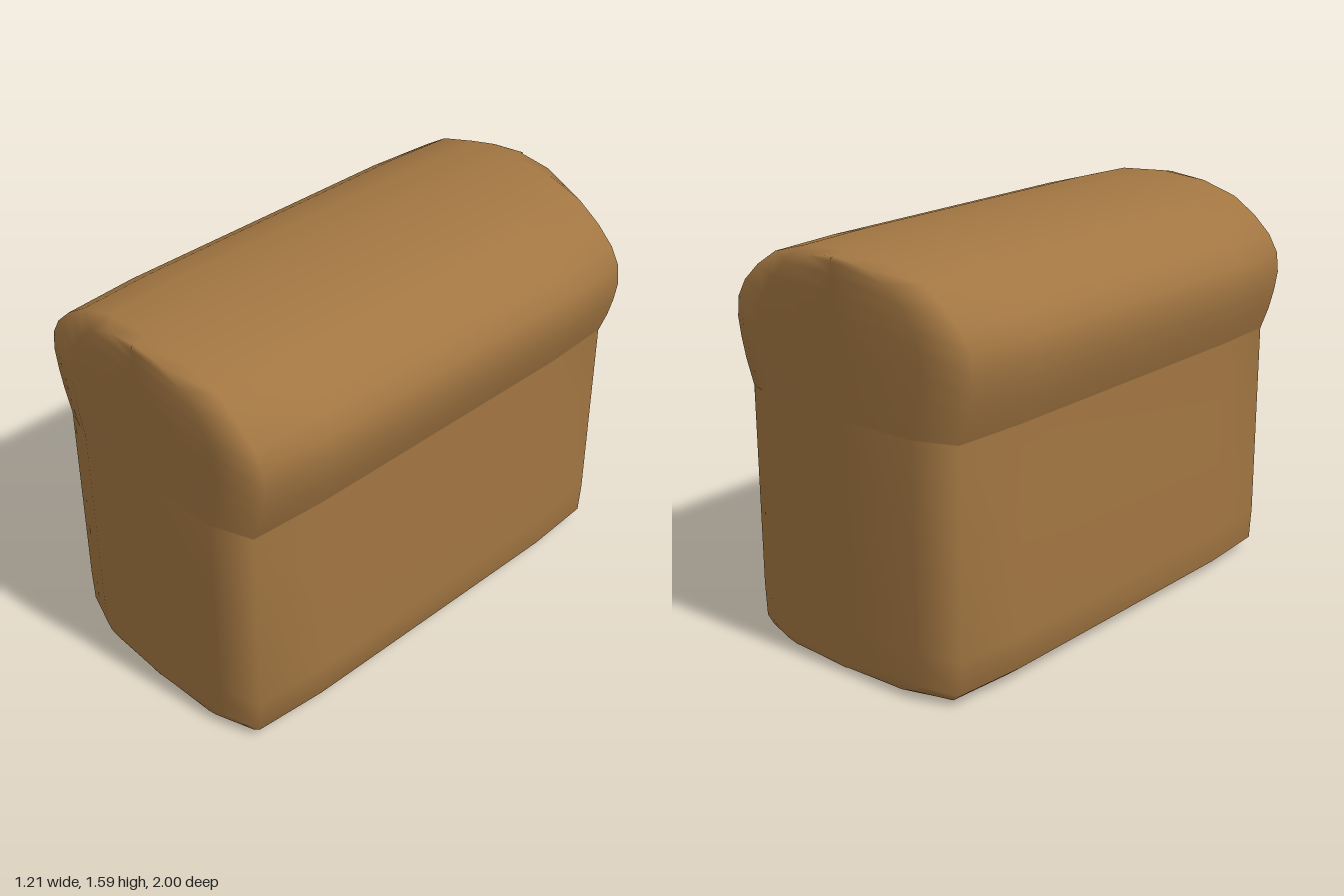
import * as THREE from 'three';
import { mergeVertices } from 'three/addons/utils/BufferGeometryUtils.js';

// Right half of the loaf's cross-section, bottom centre to top centre (x, y)
const HALF = [
  [0, 0], [0.25, 0.003], [0.42, 0.006], [0.49, 0.017], [0.525, 0.045], [0.533, 0.18],
  [0.533, 0.6], [0.533, 0.996], [0.535, 1.0], [0.57, 1.09], [0.592, 1.17], [0.606, 1.25],
  [0.597, 1.33], [0.555, 1.4], [0.478, 1.47], [0.375, 1.535], [0.215, 1.581], [0, 1.596],
];
const RING = [...HALF, ...HALF.slice(1, -1).reverse().map(([x, y]) => [-x, y])];

// Sections toward one end: z, width scale, top and bottom inset
const END = [
  [0.63, 1, 0.001],
  [0.93, 0.965, 0.006],
  [0.99, 0.66, 0.018],
  [1.0, 0, 0.02],
];

function loafGeometry() {
  const sections = [...END.map(([z, s, d]) => [-z, s, d]).reverse(), ...END];
  const n = RING.length;
  const positions = [];
  const index = [];
  for (const [z, scale, inset] of sections) {
    for (const [x, y] of RING) {
      positions.push(x * scale, y + inset * (1 - (2 * y) / 1.596), z);
    }
  }
  for (let j = 0; j < sections.length - 1; j++) {
    for (let i = 0; i < n; i++) {
      const a = j * n + i;
      const b = j * n + ((i + 1) % n);
      index.push(a, b, b + n, a, b + n, a + n);
    }
  }
  const geometry = new THREE.BufferGeometry();
  geometry.setAttribute('position', new THREE.Float32BufferAttribute(positions, 3));
  geometry.setIndex(index);
  // Weld the centre line of each end so the shading runs across it
  const welded = mergeVertices(geometry);
  welded.computeVertexNormals();
  return welded;
}

export function createModel() {
  const crust = new THREE.MeshStandardMaterial({ color: 0xa27642 });
  crust.name = 'crust brown';

  const group = new THREE.Group();
  group.name = 'breadLoaf';
  const loaf = new THREE.Mesh(loafGeometry(), crust);
  loaf.name = 'loaf';
  group.add(loaf);
  return group;
}
